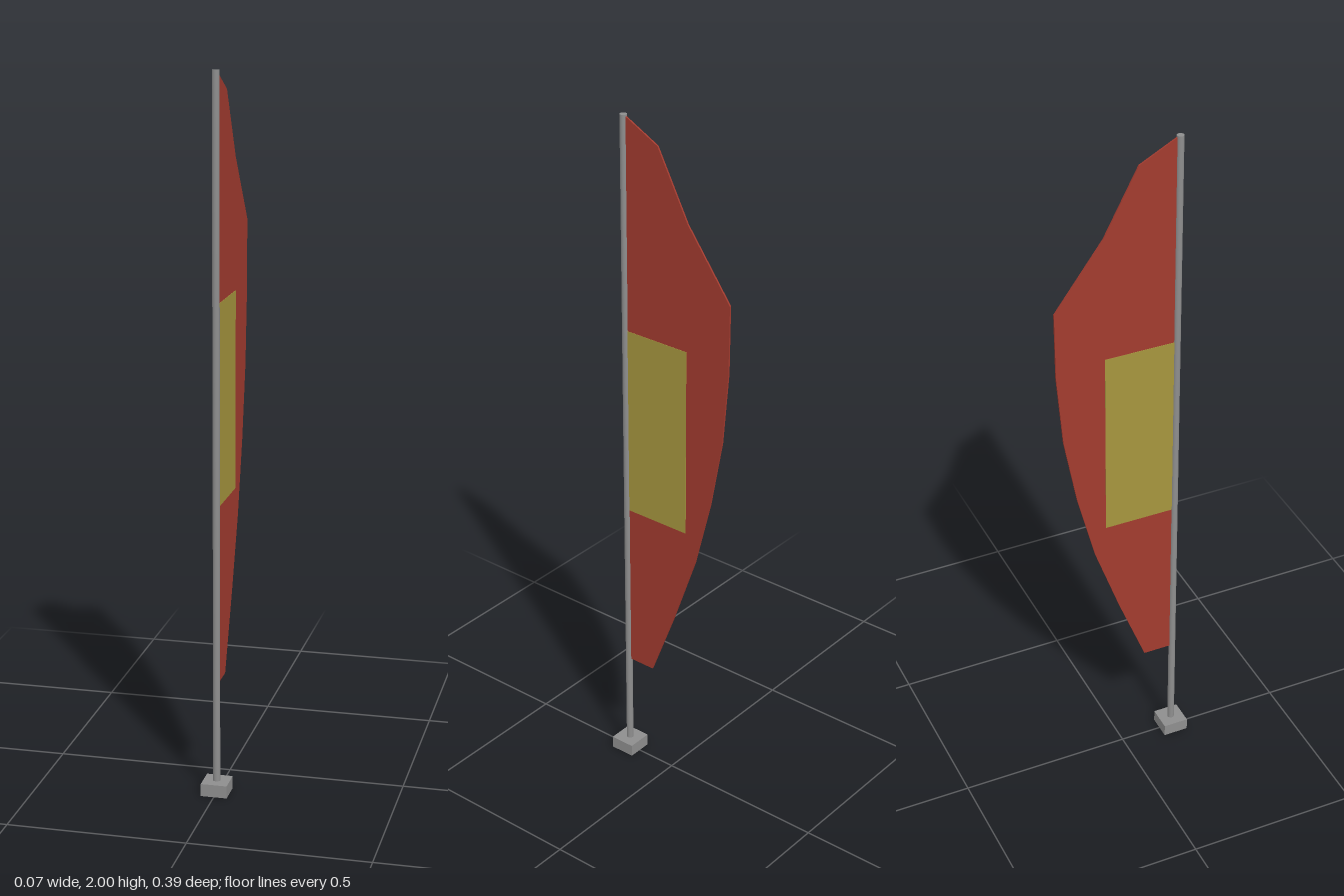
import * as THREE from 'three';

const mat = (name, color) => {
  const m = new THREE.MeshStandardMaterial({ color });
  m.name = name;
  return m;
};

export function createModel() {
  const grey = mat('grey metal', 0x8e8e8e);
  const red = mat('red cloth', 0xa23b2f);
  const yellow = mat('yellow panel', 0xa6953e);

  const group = new THREE.Group();
  group.name = 'featherFlag';
  const poleZ = 0.16;

  const add = (name, geometry, material, x, y, z) => {
    const mesh = new THREE.Mesh(geometry, material);
    mesh.name = name;
    mesh.position.set(x, y, z);
    group.add(mesh);
    return mesh;
  };

  // Square foot and round pole
  add('base', new THREE.BoxGeometry(0.074, 0.036, 0.074), grey, 0, 0.018, poleZ);
  add('pole', new THREE.CylinderGeometry(0.01, 0.01, 1.965, 16), grey, 0, 1.0175, poleZ);

  // Cloth outline as (distance behind the pole axis, height)
  const outline = [
    [0, 0.32], [0.09, 0.32], [0.17, 0.527], [0.245, 0.74], [0.297, 0.945],
    [0.335, 1.15], [0.353, 1.364], [0.355, 1.56], [0.215, 1.75], [0.115, 1.94], [0, 2],
  ].map(([d, y]) => new THREE.Vector2(d, y));
  const thickness = 0.005;
  const cloth = new THREE.ExtrudeGeometry(new THREE.Shape(outline), { depth: thickness, bevelEnabled: false });
  cloth.translate(0, 0, -thickness / 2);
  cloth.rotateY(Math.PI / 2);
  add('flagCloth', cloth, red, 0, 0, poleZ);

  // Printed panel showing on both sides of the cloth
  add('flagPanel', new THREE.BoxGeometry(0.007, 0.56, 0.21), yellow, 0, 1.105, 0.053);

  return group;
}
